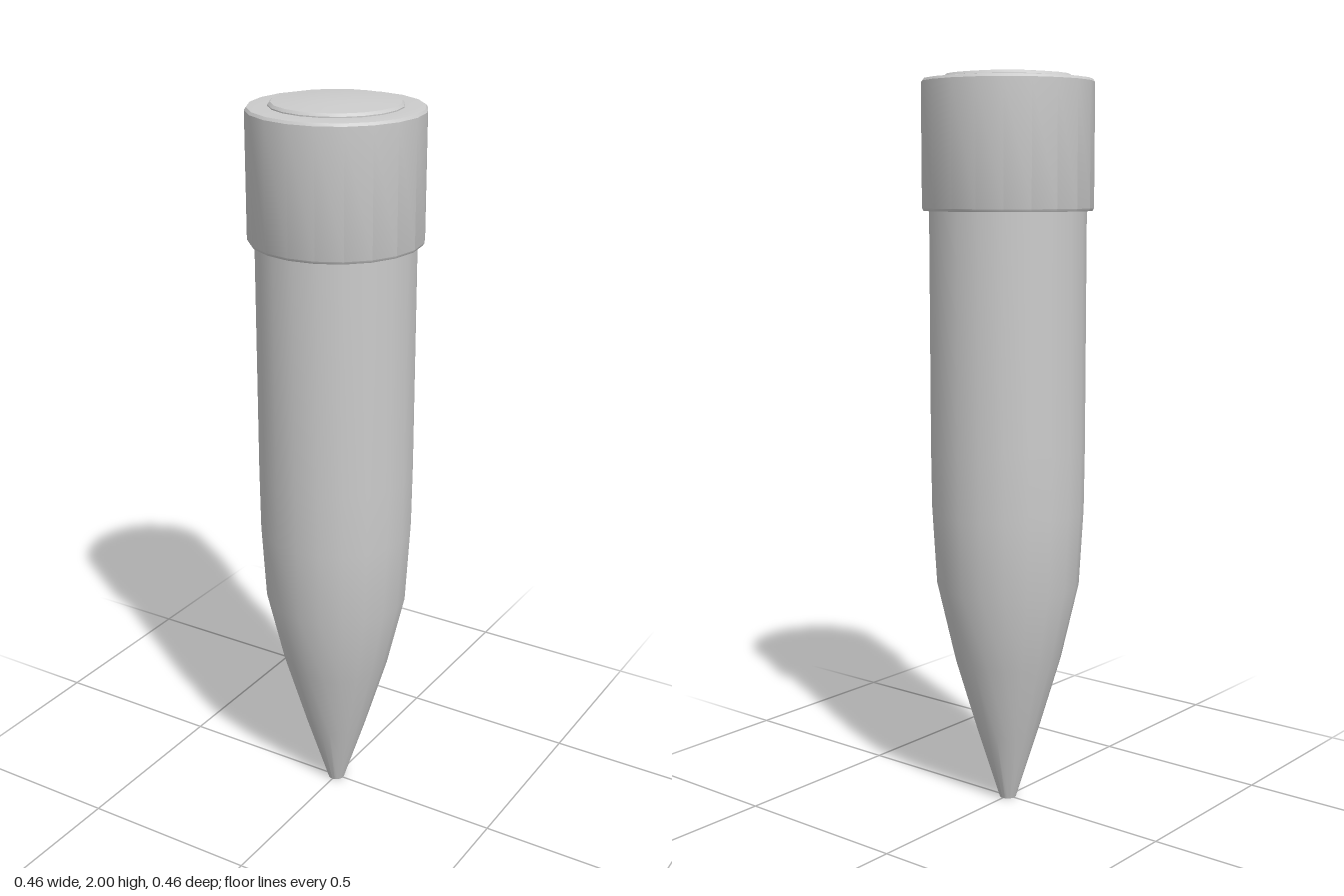
import * as THREE from 'three';
import { toCreasedNormals } from 'three/addons/utils/BufferGeometryUtils.js';

const SIDES = 20;
const material = new THREE.MeshStandardMaterial({ color: 0xcccccc });

// Turns a [radius, height] profile, listed from bottom to top, around the y axis
function turned(name, profile) {
  const points = profile.map(([r, y]) => new THREE.Vector2(r, y));
  const geometry = toCreasedNormals(new THREE.LatheGeometry(points, SIDES), Math.PI / 6);
  const mesh = new THREE.Mesh(geometry, material);
  mesh.name = name;
  return mesh;
}

export function createModel() {
  const model = new THREE.Group();
  model.name = 'taperedStake';

  // Shaft: blunt tip, flaring taper, then a straight barrel running into the cap
  model.add(turned('shaft', [
    [0, 0], [0.023, 0], [0.086, 0.2], [0.148, 0.41], [0.196, 0.62],
    [0.208, 0.83], [0.21, 1.0], [0.21, 1.66],
  ]));

  // Cap: wider collar with thin bevels on both rims
  model.add(turned('cap', [
    [0.205, 1.638], [0.225, 1.638], [0.229, 1.645], [0.229, 1.972],
    [0.224, 1.979], [0.205, 1.981], [0.165, 1.981],
  ]));

  // Button: shallow domed disc on top of the cap
  model.add(turned('topButton', [
    [0.171, 1.978], [0.171, 1.984], [0.165, 1.991], [0.11, 1.996], [0.055, 2.0], [0, 2.0],
  ]));

  return model;
}
